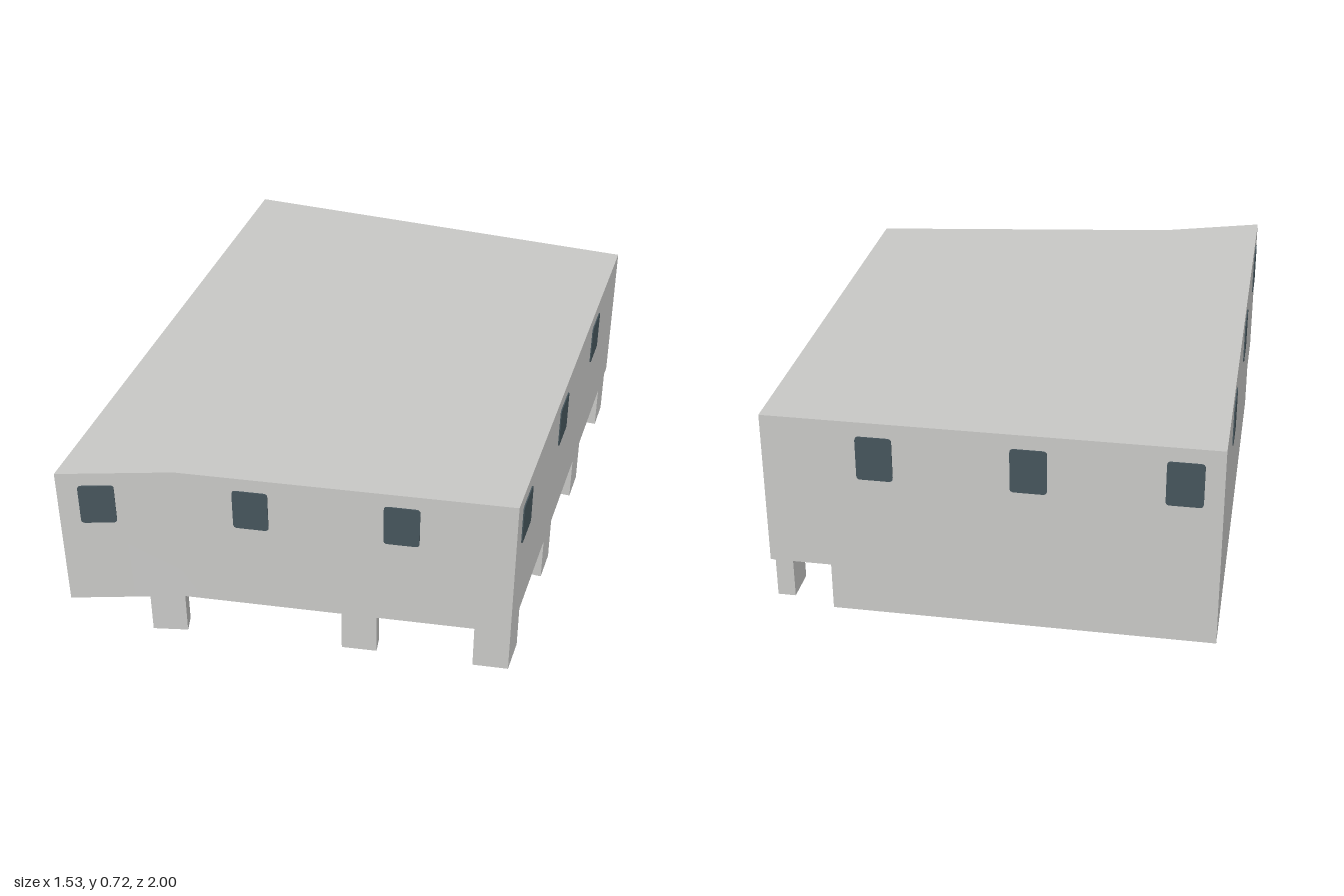
import * as THREE from 'three';
import { toCreasedNormals } from 'three/addons/utils/BufferGeometryUtils.js';

const W = 0.76, SOFFIT = 0.172, TOP = 0.725;

// Vertical prism from a plan outline of [x, z] points
function prism(points, y0, y1) {
  const shape = new THREE.Shape(points.map(([x, z]) => new THREE.Vector2(x, -z)));
  const geo = new THREE.ExtrudeGeometry(shape, { depth: y1 - y0, bevelEnabled: false });
  geo.rotateX(-Math.PI / 2).translate(0, y0, 0);
  return toCreasedNormals(geo, 0.5);
}

// Open vertical wall along a closed plan outline
function wallRibbon(points, y0, y1) {
  const pos = [];
  points.forEach(([ax, az], i) => {
    const [bx, bz] = points[(i + 1) % points.length];
    pos.push(ax, y0, az, bx, y0, bz, bx, y1, bz, ax, y0, az, bx, y1, bz, ax, y1, az);
  });
  const geo = new THREE.BufferGeometry();
  geo.setAttribute('position', new THREE.Float32BufferAttribute(pos, 3));
  return toCreasedNormals(geo, 0.5);
}

// Thin pane with rounded corners, facing +z
function paneGeometry(w, h, r = 0.014) {
  const x = w / 2, y = h / 2, s = new THREE.Shape();
  s.moveTo(-x + r, -y);
  s.lineTo(x - r, -y).quadraticCurveTo(x, -y, x, -y + r);
  s.lineTo(x, y - r).quadraticCurveTo(x, y, x - r, y);
  s.lineTo(-x + r, y).quadraticCurveTo(-x, y, -x, y - r);
  s.lineTo(-x, -y + r).quadraticCurveTo(-x, -y, -x + r, -y);
  return new THREE.ExtrudeGeometry(s, { depth: 0.005, bevelEnabled: false, curveSegments: 4 })
    .translate(0, 0, -0.001);
}

export function createModel() {
  const model = new THREE.Group();
  model.name = 'building';
  const concrete = new THREE.MeshStandardMaterial({ color: 0xc8c8c6, side: THREE.DoubleSide });
  concrete.name = 'concrete grey';
  const glass = new THREE.MeshStandardMaterial({ color: 0x46555c });
  glass.name = 'window blue grey';

  const add = (name, geo, mat) => {
    const mesh = new THREE.Mesh(geo, mat);
    mesh.name = name;
    model.add(mesh);
    return mesh;
  };

  // Upper storey with a bent front
  const front = [[-W, 1], [-0.385, 0.87], [W, 0.7]];
  add('upperStorey', prism([...front, [W, -1], [-W, -1]], SOFFIT, TOP), concrete);

  // Recessed ground floor, open underneath
  add('groundFloorWalls',
    wallRibbon([[-W, 0.777], [-0.41, 0.635], [0.548, 0.48], [0.548, -1], [-W, -1]], 0, SOFFIT), concrete);

  // Pillars along the front, turned with the facade
  const pillarW = 0.125, pillarD = 0.062;
  [[-0.445, 0.875, 0.25], [0.2325, 0.765, 0.155]].forEach(([x, z, turn]) => {
    const geo = new THREE.BoxGeometry(pillarW, SOFFIT, pillarD).translate(0, SOFFIT / 2, -pillarD / 2);
    const pillar = add('frontPillar', geo, concrete);
    pillar.position.set(x, 0, z);
    pillar.rotation.y = turn;
  });

  // Corner pillar and pillars along the side
  add('cornerPillar', prism([[0.636, 0.718], [W, 0.7], [W, 0.57], [0.636, 0.57]], 0, SOFFIT), concrete);
  [0.125, -0.383, -0.89].forEach((z) => {
    const geo = new THREE.BoxGeometry(pillarD, SOFFIT, pillarW);
    add('sidePillar', geo, concrete).position.set(W - pillarD / 2, SOFFIT / 2, z);
  });

  // Windows: three on each side
  const addWindow = (name, x, z, turn, w) => {
    const pane = add(name, paneGeometry(w, 0.158), glass);
    pane.position.set(x, 0.595, z);
    pane.rotation.y = turn;
  };
  [-0.635, -0.13, 0.38].forEach((x) => {
    const [a, b] = x < front[1][0] ? [front[0], front[1]] : [front[1], front[2]];
    const slope = (b[1] - a[1]) / (b[0] - a[0]);
    addWindow('frontWindow', x, a[1] + slope * (x - a[0]), -Math.atan(slope), 0.122);
    addWindow('backWindow', x, -1, Math.PI, 0.122);
  });
  [0.565, -0.005, -0.57].forEach((z) => addWindow('leftWindow', W, z, Math.PI / 2, 0.13));
  [0.83, 0.163, -0.505].forEach((z) => addWindow('rightWindow', -W, z, -Math.PI / 2, 0.145));

  return model;
}
